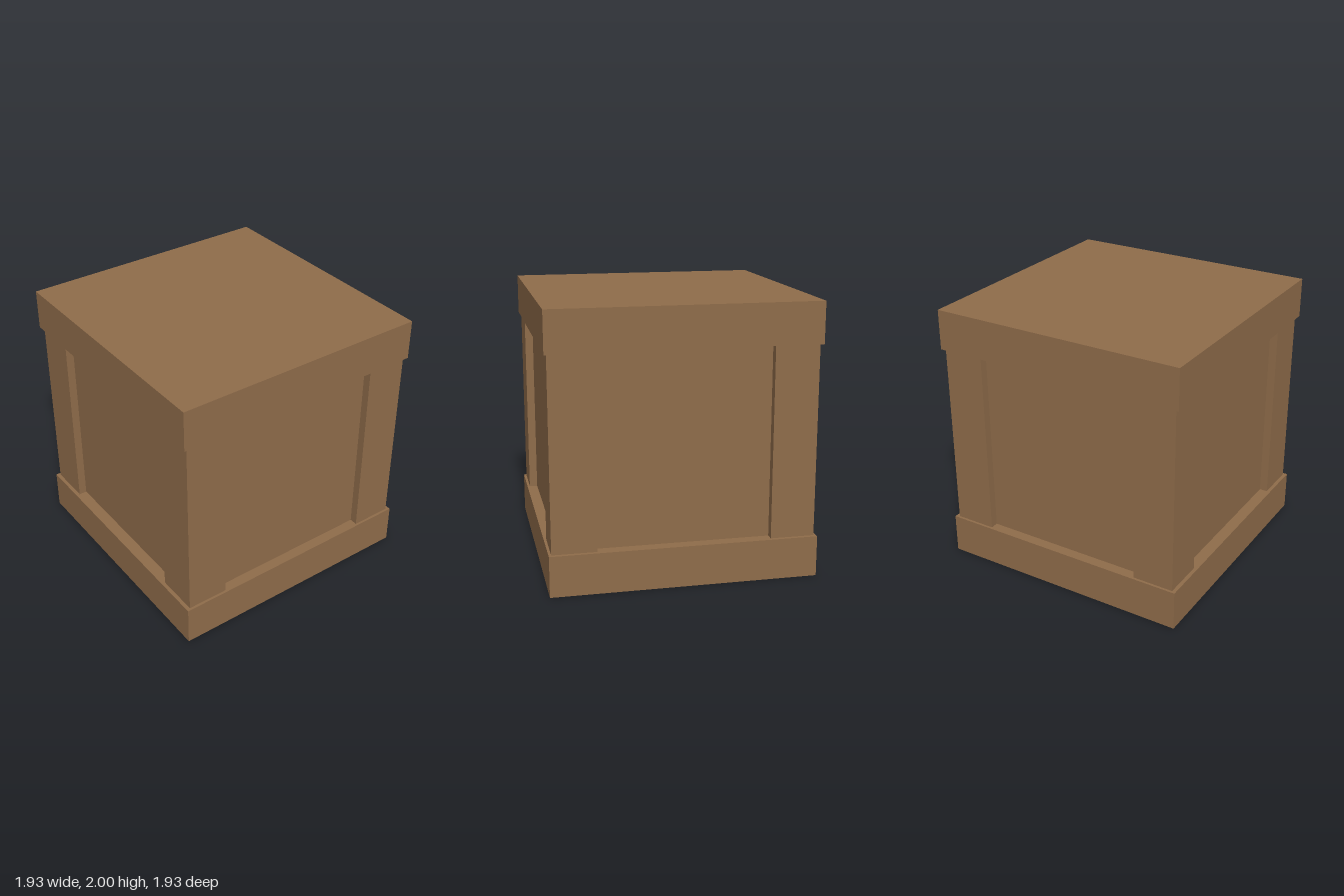
import * as THREE from 'three';

export function createModel() {
  const wood = new THREE.MeshStandardMaterial({ color: 0x8f6c4a });
  wood.name = 'brown wood';
  const crate = new THREE.Group();
  crate.name = 'crate';

  const addBox = (name, w, h, d, x, y, z) => {
    const mesh = new THREE.Mesh(new THREE.BoxGeometry(w, h, d), wood);
    mesh.name = name;
    mesh.position.set(x, y, z);
    crate.add(mesh);
  };

  const frameWidth = 1.932, frameHeight = 0.3;
  const postX = 0.938, postZ = 0.947, postInner = 0.626;
  const panelInset = 0.06;
  const bodyHeight = 2 - 2 * frameHeight;

  // Solid base and lid bands
  addBox('base', frameWidth, frameHeight, frameWidth, 0, frameHeight / 2, 0);
  addBox('lid', frameWidth, frameHeight, frameWidth, 0, 2 - frameHeight / 2, 0);

  // Recessed side panels
  addBox('panels', 2 * (postX - panelInset), bodyHeight, 2 * (postZ - panelInset), 0, 1, 0);

  // Corner posts
  for (const sx of [-1, 1]) {
    for (const sz of [-1, 1]) {
      addBox('cornerPost', postX - postInner, bodyHeight, postZ - postInner,
        sx * (postX + postInner) / 2, 1, sz * (postZ + postInner) / 2);
    }
  }
  return crate;
}
